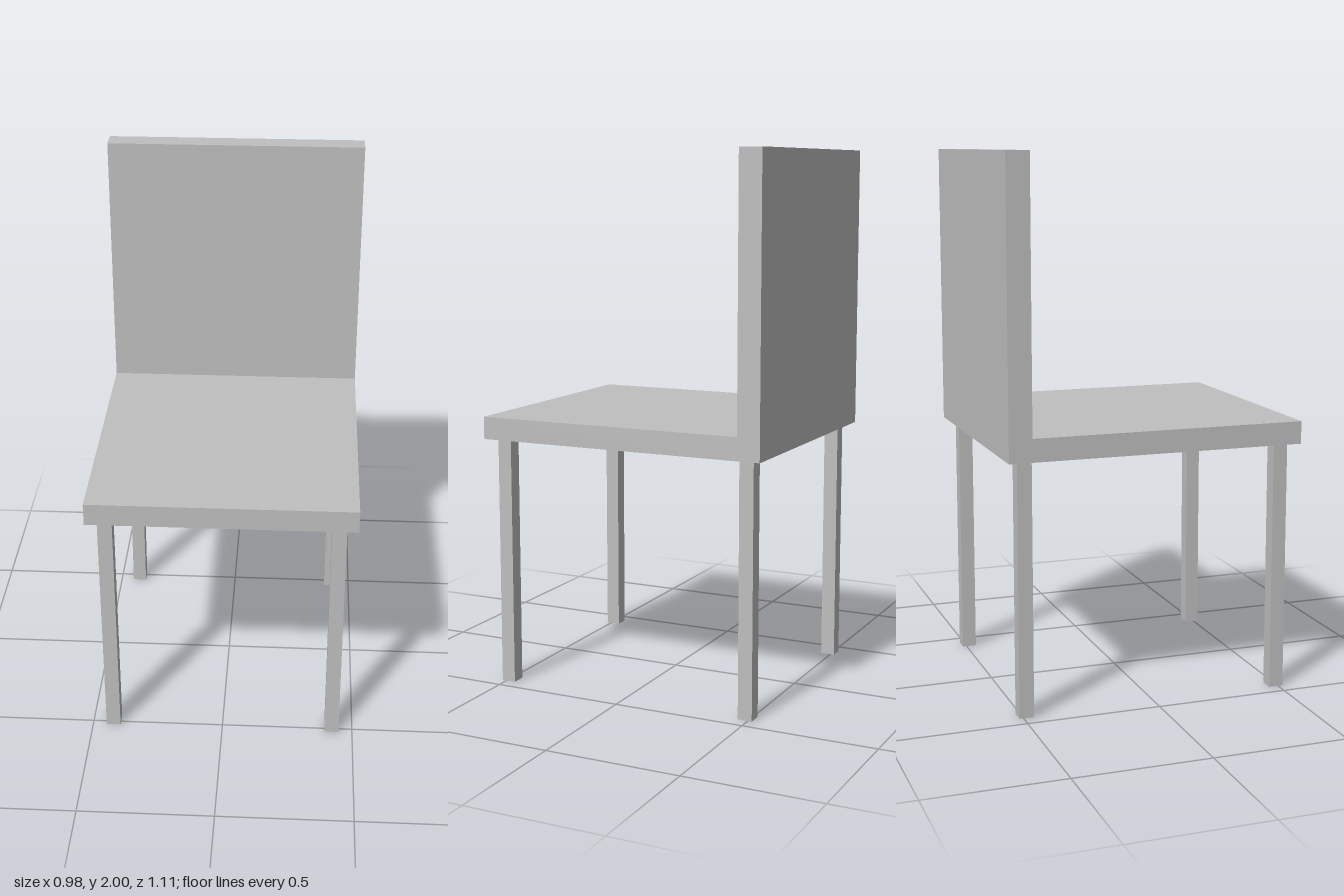
import * as THREE from 'three';

const WIDTH = 0.977;
const HALF_DEPTH = 0.554;
const SEAT_BOTTOM = 0.938;
const SEAT_TOP = 1.022;
const BACK_FRONT = -0.469;
const LEG = 0.054;

export function createModel() {
  const chair = new THREE.Group();
  chair.name = 'chair';

  const grey = new THREE.MeshStandardMaterial({ color: 0xbfbfbf });
  grey.name = 'light grey';

  // Seat and backrest: one L-shaped side profile (z, y) extruded across the width
  const profile = new THREE.Shape([
    [-HALF_DEPTH, SEAT_BOTTOM],
    [HALF_DEPTH, SEAT_BOTTOM],
    [HALF_DEPTH, SEAT_TOP],
    [BACK_FRONT, SEAT_TOP],
    [BACK_FRONT, 2],
    [-HALF_DEPTH, 2],
  ].map(([z, y]) => new THREE.Vector2(z, y)));
  const body = new THREE.ExtrudeGeometry(profile, { depth: WIDTH, bevelEnabled: false });
  body.translate(0, 0, -WIDTH / 2).rotateY(-Math.PI / 2);
  const seat = new THREE.Mesh(body, grey);
  seat.name = 'seatAndBackrest';
  chair.add(seat);

  // Four square legs
  const legGeometry = new THREE.BoxGeometry(LEG, SEAT_BOTTOM, LEG);
  for (const [end, z] of [['front', 0.491], ['back', -0.488]]) {
    for (const [side, x] of [['Left', 0.421], ['Right', -0.421]]) {
      const leg = new THREE.Mesh(legGeometry, grey);
      leg.name = `${end}${side}Leg`;
      leg.position.set(x, SEAT_BOTTOM / 2, z);
      chair.add(leg);
    }
  }

  return chair;
}
